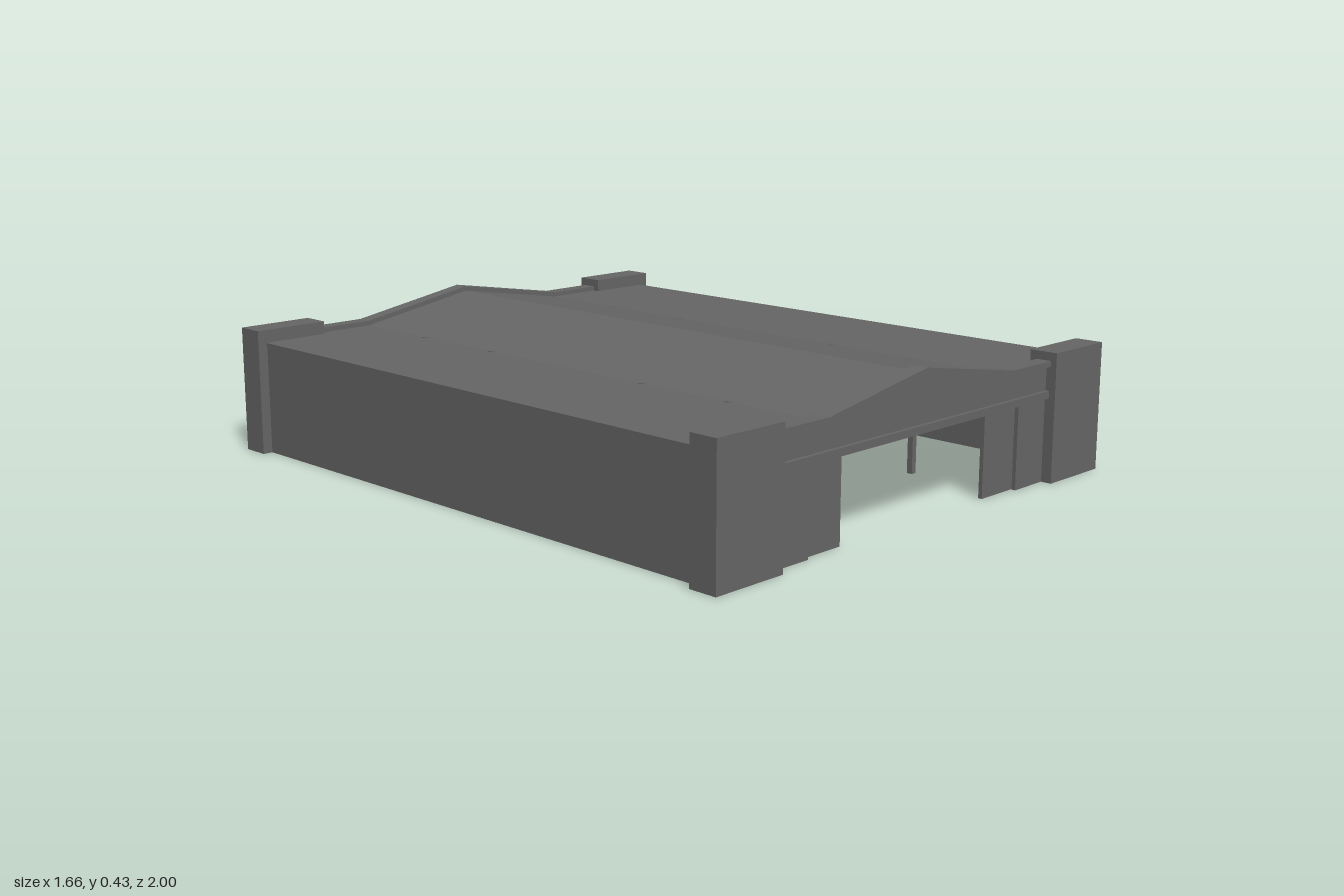
import * as THREE from 'three';

export function createModel() {
  const model = new THREE.Group();
  const grey = new THREE.MeshStandardMaterial({ color: 0x666666 });
  grey.name = 'dark grey metal';

  const add = (name, geometry) => {
    const mesh = new THREE.Mesh(geometry, grey);
    mesh.name = name;
    model.add(mesh);
    return mesh;
  };

  // Box given by its lower and upper limits on each axis
  const box = (name, x0, x1, y0, y1, z0, z1) => {
    const mesh = add(name, new THREE.BoxGeometry(Math.abs(x1 - x0), y1 - y0, Math.abs(z1 - z0)));
    mesh.position.set((x0 + x1) / 2, (y0 + y1) / 2, (z0 + z1) / 2);
    return mesh;
  };

  // Square bar between two points
  const bar = (name, a, b, size = 0.016) => {
    const from = new THREE.Vector3(...a), to = new THREE.Vector3(...b);
    const mesh = add(name, new THREE.BoxGeometry(size, size, from.distanceTo(to)));
    mesh.position.copy(from).add(to).multiplyScalar(0.5);
    mesh.lookAt(to);
    return mesh;
  };

  // Outline in the front plane, extruded along z
  const slab = (name, points, z0, z1) => {
    const shape = new THREE.Shape(points.map(p => new THREE.Vector2(...p)));
    const geometry = new THREE.ExtrudeGeometry(shape, { depth: z1 - z0, bevelEnabled: false });
    geometry.translate(0, 0, z0);
    return add(name, geometry);
  };

  // Roof line: flat at the eaves, rising to a shallow ridge
  const roofLine = (half, lift) => [
    [-half, 0.345 + lift], [-0.4, 0.345 + lift], [0, 0.412 + lift],
    [0.4, 0.345 + lift], [half, 0.345 + lift],
  ];
  const strip = (half, low, high) => [...roofLine(half, low), ...roofLine(half, high).reverse()];

  slab('roof', strip(0.8, -0.01, 0), -0.95, 0.95);

  // Long side walls; the left one carries a shallow band
  for (const s of [-1, 1]) {
    box('sideWall', s * 0.785, s * 0.797, 0, 0.345, -0.95, 0.95);
  }
  box('wallBand', 0.796, 0.801, 0.192, 0.25, -0.915, 0.915);

  for (const e of [-1, 1]) {
    const span = (a, b) => (e > 0 ? [a, b] : [-b, -a]);

    // Gable above the doorway, with its coping and door rail
    slab('gable', [[-0.6, 0.25], [0.6, 0.25], ...roofLine(0.6, 0).reverse()], ...span(0.945, 0.968));
    slab('gableCoping', strip(0.6, -0.002, 0.015), ...span(0.935, 0.982));
    box('doorRail', -0.6, 0.6, 0.25, 0.272, ...span(0.935, 0.98));

    for (const s of [-1, 1]) {
      // Staggered sliding door leaves
      box('outerDoorLeaf', s * 0.455, s * 0.6, 0, 0.25, ...span(0.955, 0.967));
      box('innerDoorLeaf', s * 0.313, s * 0.47, 0, 0.25, ...span(0.94, 0.952));

      // Hollow corner pillar, open at the bottom
      const [z0, z1] = span(0.912, 1);
      const a = s * 0.588, b = s * 0.828, t = 0.008;
      box('pillarTop', a, b, 0.377, 0.385, z0, z1);
      box('pillarInnerSide', a, a + s * t, 0, 0.377, z0, z1);
      box('pillarOuterSide', b - s * t, b, 0, 0.377, z0, z1);
      box('pillarBackFace', a, b, 0, 0.377, z0, z0 + t);
      box('pillarFrontFace', a, b, 0, 0.377, z1 - t, z1);
    }
  }

  // Portal frames under the roof
  for (const z of [-0.64, -0.32, 0.32, 0.64]) {
    for (const s of [-1, 1]) {
      const x = s * 0.4;
      box('framePost', x - 0.009, x + 0.009, 0, 0.347, z - 0.009, z + 0.009);
      bar('rafter', [x, 0.322, z], [0, 0.389, z]);
      bar('eaveBeam', [x, 0.322, z], [s * 0.786, 0.322, z]);
      bar('kneeBrace', [x, 0.26, z], [s * 0.3, 0.335, z], 0.01);
    }
  }

  // Long beams and the bracing within each pair of frames
  for (const s of [-1, 1]) {
    const x = s * 0.4;
    bar('eavePurlin', [x, 0.322, -0.64], [x, 0.322, 0.64]);
    for (const e of [-1, 1]) {
      const z0 = e * 0.32, z1 = e * 0.64;
      bar('tieBeam', [x, 0.16, z0], [x, 0.16, z1], 0.012);
      bar('upperTie', [x, 0.27, z0], [x, 0.27, z1], 0.012);
      bar('roofPurlin', [s * 0.2, 0.35, z0], [s * 0.2, 0.35, z1], 0.012);
      for (const k of [1, 2]) {
        const z = z0 + (z1 - z0) * k / 3;
        bar('tiePost', [x, 0.16, z], [x, 0.322, z], 0.007);
      }
    }
  }

  return model;
}
